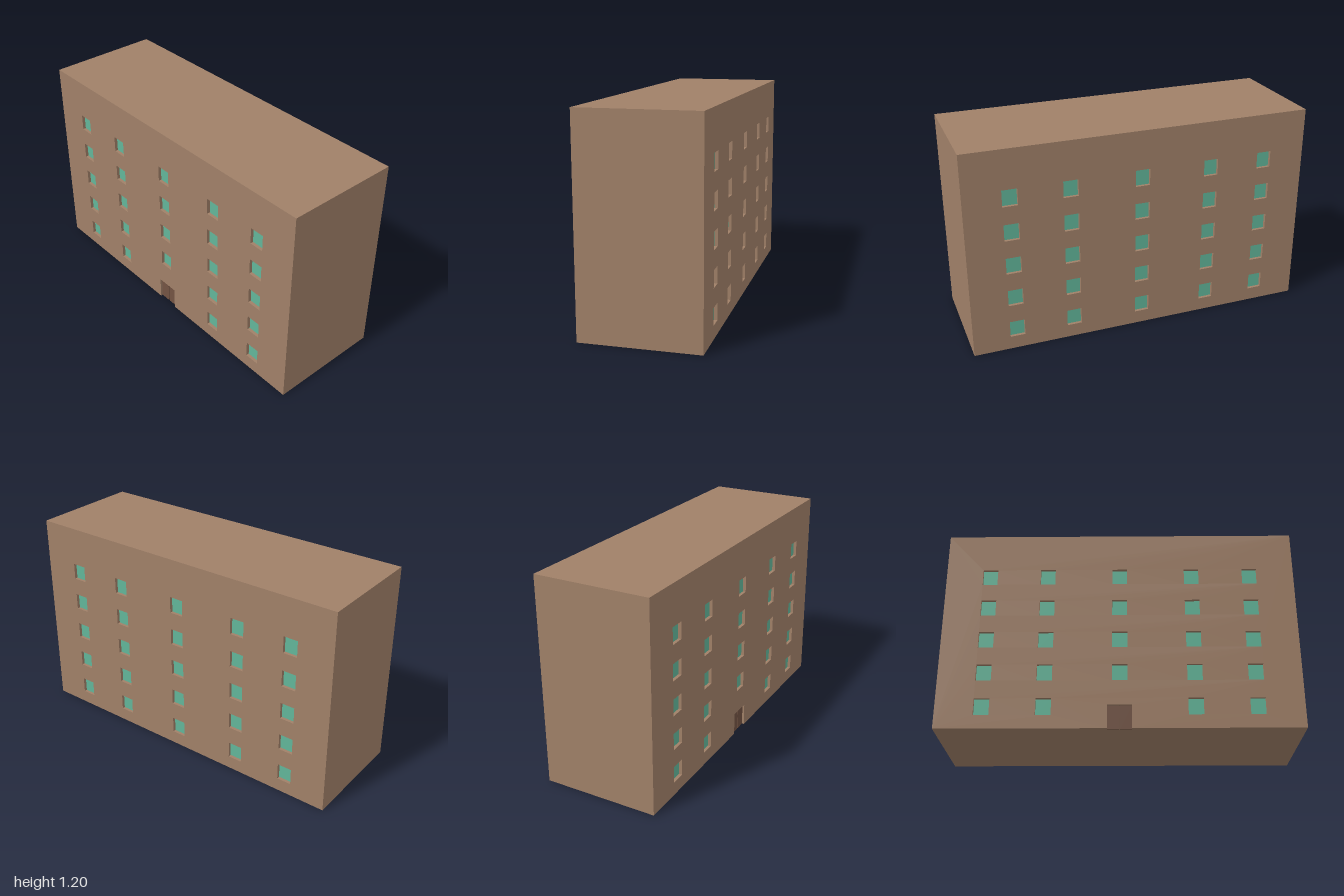
import * as THREE from 'three';

const W = 2, H = 1.2, D = 0.667, RECESS = 0.02;
const WIN_W = 0.085, WIN_H = 0.096;
const DOOR_W = 0.134, DOOR_H = 0.134;
const columns = [-0.747, -0.413, 0, 0.413, 0.747];
const rows = [0.125, 0.325, 0.525, 0.725, 0.925];

const wallMat = new THREE.MeshStandardMaterial({ color: 0xa08068 });
const glassMat = new THREE.MeshStandardMaterial({ color: 0x62b599 });
const doorMat = new THREE.MeshStandardMaterial({ color: 0x725343 });

function addMesh(parent, name, geometry, material, x = 0, y = 0, z = 0) {
  const mesh = new THREE.Mesh(geometry, material);
  mesh.name = name;
  mesh.position.set(x, y, z);
  parent.add(mesh);
  return mesh;
}

// One long wall with window openings, and optionally a doorway cut up from the ground
function facade(name, hasDoor) {
  const group = new THREE.Group();
  group.name = name;
  const inner = D / 2 - RECESS;
  const d = DOOR_W / 2;
  const doorway = hasDoor ? [[-d, 0], [-d, DOOR_H], [d, DOOR_H], [d, 0]] : [];
  const outline = [[-W / 2, 0], ...doorway, [W / 2, 0], [W / 2, H], [-W / 2, H]];
  const shape = new THREE.Shape(outline.map(([x, y]) => new THREE.Vector2(x, y)));

  for (const x of columns) {
    for (const y of rows) {
      if (hasDoor && x === 0 && y === rows[0]) continue;
      const l = x - WIN_W / 2, r = x + WIN_W / 2, b = y - WIN_H / 2, t = y + WIN_H / 2;
      shape.holes.push(new THREE.Path([
        new THREE.Vector2(l, b), new THREE.Vector2(l, t),
        new THREE.Vector2(r, t), new THREE.Vector2(r, b),
      ]));
      addMesh(group, 'windowPane', new THREE.PlaneGeometry(WIN_W, WIN_H), glassMat, x, y, inner + 0.002);
    }
  }
  const wall = new THREE.ExtrudeGeometry(shape, { depth: RECESS, bevelEnabled: false });
  addMesh(group, 'wall', wall, wallMat, 0, 0, inner);

  // Two door leaves with a narrow groove between them
  if (hasDoor) {
    addMesh(group, 'doorGroove', new THREE.PlaneGeometry(DOOR_W, DOOR_H), doorMat, 0, DOOR_H / 2, inner + 0.001);
    const leafW = DOOR_W / 2 - 0.003;
    for (const s of [-1, 1]) {
      addMesh(group, 'doorLeaf', new THREE.BoxGeometry(leafW, DOOR_H, 0.008), doorMat,
        s * (DOOR_W / 2 - leafW / 2), DOOR_H / 2, inner + 0.004);
    }
  }
  return group;
}

export function createModel() {
  const model = new THREE.Group();
  model.name = 'apartmentBlock';

  // Solid core between the two facades
  addMesh(model, 'core', new THREE.BoxGeometry(W, H, D - 2 * RECESS), wallMat, 0, H / 2, 0);

  model.add(facade('frontFacade', true));
  const back = facade('backFacade', false);
  back.rotation.y = Math.PI;
  model.add(back);
  return model;
}
